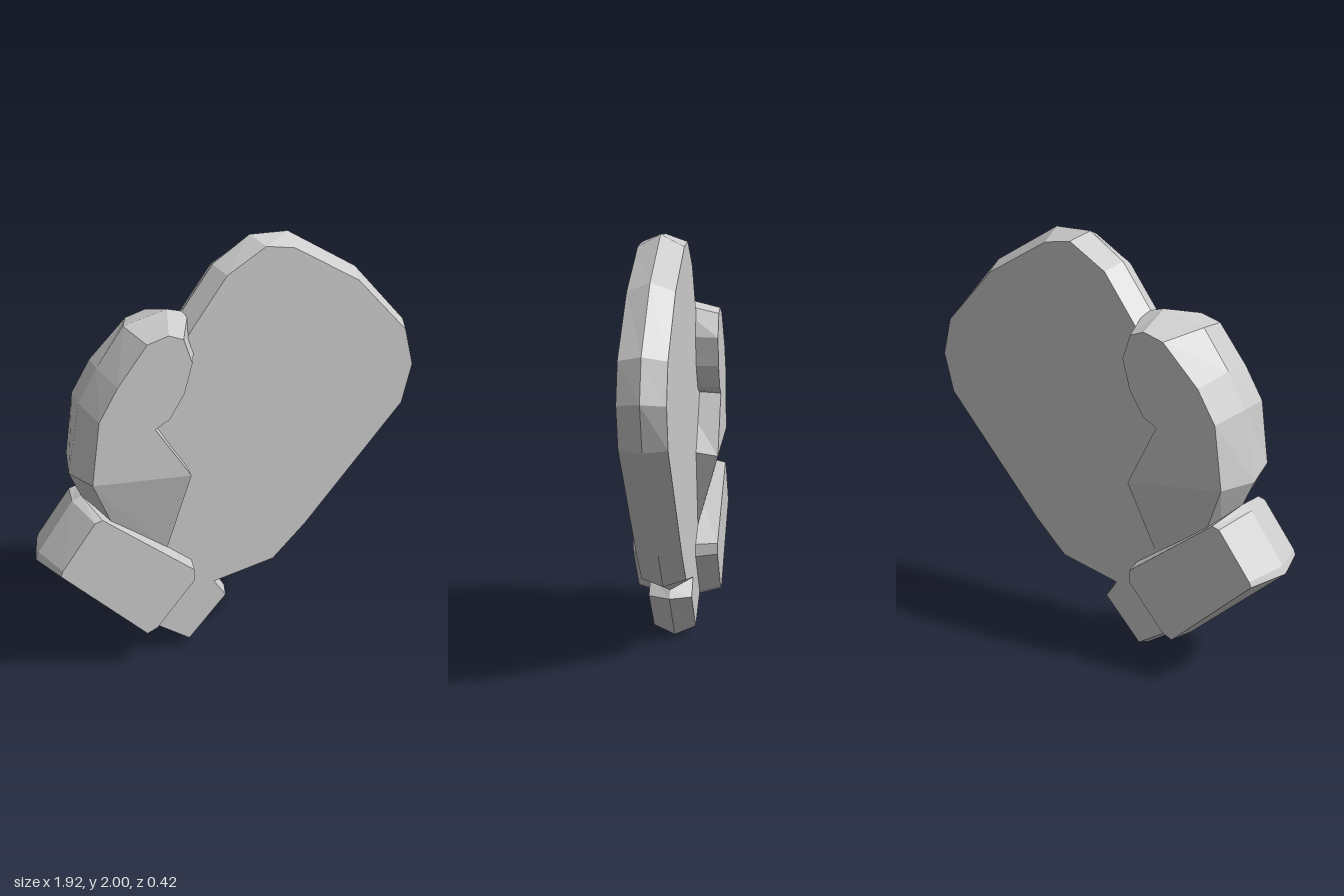
import * as THREE from 'three';

const material = new THREE.MeshStandardMaterial({ color: 0xcccccc, flatShading: true });

// Faceted slab: a mid outline at z = 0 bevelled to a front and a back outline.
// Outlines run counter-clockwise; points are [x, y] or [x, y, depth].
// caps lists the point indices of each flat polygon of the front and back.
function slab(name, depth, mid, front, back = front, caps = [mid.map((_, i) => i)]) {
  const n = mid.length;
  const positions = [];
  mid.forEach(([x, y]) => positions.push(x, y, 0));
  front.forEach(([x, y, d = depth]) => positions.push(x, y, d));
  back.forEach(([x, y, d = depth]) => positions.push(x, y, -d));

  const index = [];
  for (let i = 0; i < n; i++) {
    const j = (i + 1) % n;
    index.push(i, j, n + j, i, n + j, n + i); // front bevel
    index.push(2 * n + i, 2 * n + j, j, 2 * n + i, j, i); // back bevel
  }
  const addCap = (outline, offset, flip) => caps.forEach((ids) => {
    const contour = ids.map((i) => new THREE.Vector2(outline[i][0], outline[i][1]));
    THREE.ShapeUtils.triangulateShape(contour, []).forEach(([a, b, c]) => {
      const t = [a, b, c].map((k) => offset + ids[k]);
      const area = (contour[b].x - contour[a].x) * (contour[c].y - contour[a].y)
        - (contour[b].y - contour[a].y) * (contour[c].x - contour[a].x);
      if ((area < 0) !== flip) t.reverse();
      index.push(...t);
    });
  });
  addCap(front, n, false);
  addCap(back, 2 * n, true);

  const indexed = new THREE.BufferGeometry();
  indexed.setAttribute('position', new THREE.Float32BufferAttribute(positions, 3));
  indexed.setIndex(index);
  const geometry = indexed.toNonIndexed();
  geometry.computeVertexNormals();
  const mesh = new THREE.Mesh(geometry, material);
  mesh.name = name;
  return mesh;
}

export function createModel() {
  const group = new THREE.Group();
  group.name = 'mitten';

  // Broad hand with the narrow wrist stub at its base
  group.add(slab('hand', 0.105,
    [[0.29, 2], [0.1, 2], [-0.08, 1.88], [-0.25, 1.65], [-0.45, 1.35], [-0.58, 1.05], [-0.58, 0.75],
      [-0.62, 0.45], [-0.46, 0.15], [-0.24, 0.005], [-0.025, 0.245], [-0.05, 0.285], [0.22, 0.37],
      [0.39, 0.56], [0.89, 1.11], [0.96, 1.32], [0.91, 1.51], [0.64, 1.8]],
    [[0.28, 1.945], [0.14, 1.965], [-0.05, 1.85], [-0.22, 1.62], [-0.42, 1.34], [-0.55, 1.05], [-0.55, 0.75],
      [-0.59, 0.46], [-0.46, 0.185], [-0.25, 0.05], [-0.06, 0.25], [-0.12, 0.335], [0.19, 0.4],
      [0.36, 0.56], [0.865, 1.12], [0.915, 1.31], [0.87, 1.49], [0.61, 1.76]]));

  // Curled thumb, thinning below the fold towards the cuff
  const thumbFront = [[-0.3, 1.615], [-0.37, 1.64], [-0.47, 1.61], [-0.61, 1.43], [-0.7, 1.28],
    [-0.74, 0.985], [-0.59, 0.65, 0.125], [-0.36, 0.55, 0.105], [-0.27, 0.96],
    [-0.44, 1.21], [-0.37, 1.25], [-0.3, 1.36], [-0.26, 1.5]];
  const thumbBack = thumbFront.map(([x, y, d]) => [x + (x > -0.48 ? 0.04 : 0), y, d]);
  thumbBack[7] = [-0.34, 0.55, 0.105];
  thumbBack[8] = [-0.25, 0.915];
  group.add(slab('thumb', 0.212,
    [[-0.2, 1.67], [-0.3, 1.695], [-0.51, 1.64], [-0.64, 1.46], [-0.73, 1.3],
      [-0.79, 0.97], [-0.63, 0.62], [-0.34, 0.55], [-0.23, 0.95],
      [-0.4, 1.22], [-0.29, 1.25], [-0.21, 1.36], [-0.17, 1.51]],
    thumbFront, thumbBack,
    [[0, 1, 2, 3, 4, 5, 8, 9, 10, 11, 12], [5, 6, 7, 8]]));

  // Slanted cuff
  group.add(slab('cuff', 0.212,
    [[-0.735, 0.85], [-0.78, 0.83], [-0.95, 0.6], [-0.965, 0.565], [-0.48, 0.13], [-0.43, 0.15],
      [-0.21, 0.4], [-0.21, 0.47]],
    [[-0.7, 0.81], [-0.735, 0.8], [-0.895, 0.59], [-0.905, 0.565], [-0.5, 0.185], [-0.45, 0.205],
      [-0.26, 0.42], [-0.26, 0.475]]));

  return group;
}
